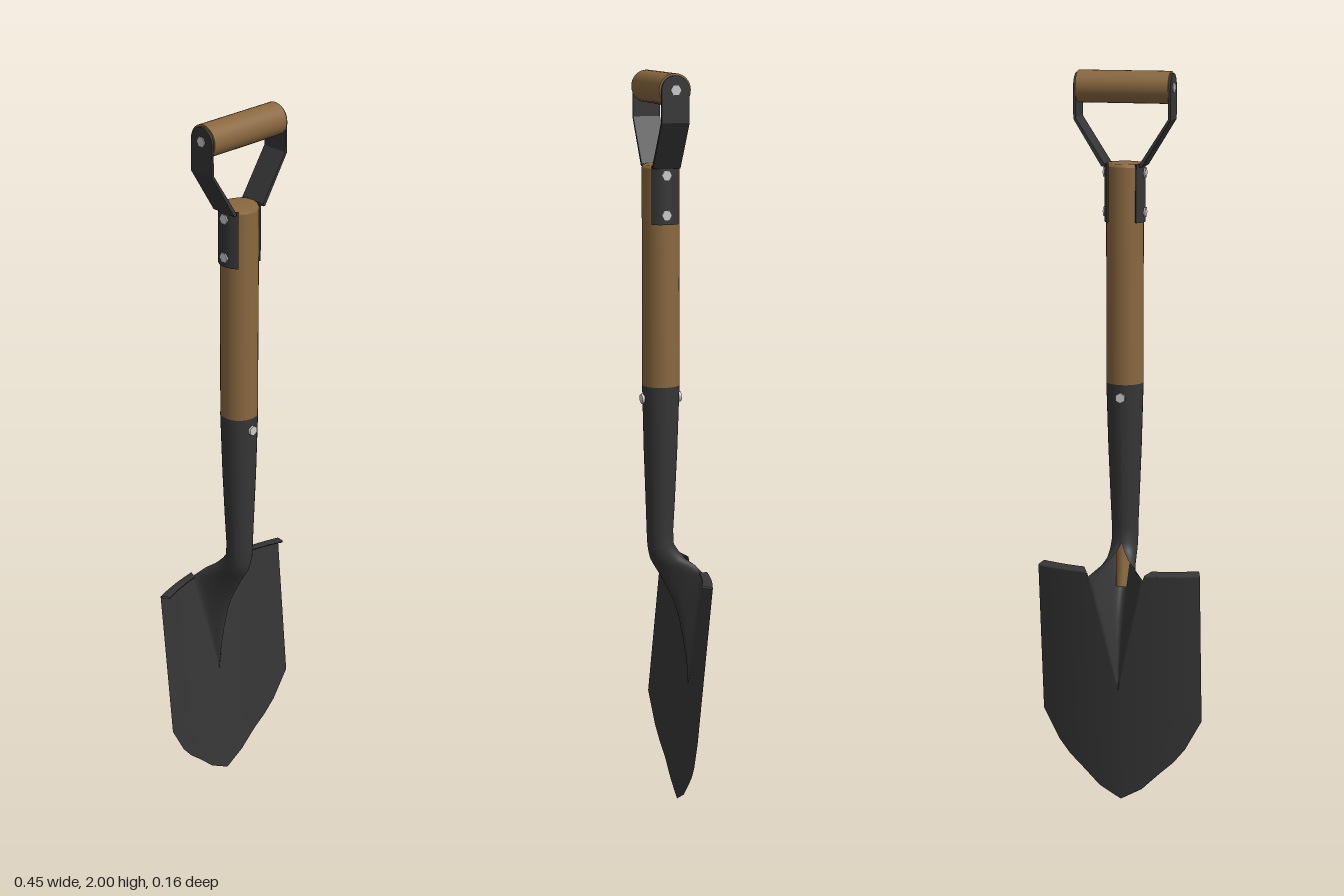
import * as THREE from 'three';

const lerp = THREE.MathUtils.lerp;
const AXIS_Z = 0.027; // shaft axis

const material = (name, color, side = THREE.FrontSide) => {
  const m = new THREE.MeshStandardMaterial({ color, side });
  m.name = name;
  return m;
};

// Linear lookup in a table of [key, value] with rising keys
function lookup(table, k) {
  if (k <= table[0][0]) return table[0][1];
  for (let i = 1; i < table.length; i++) {
    const [a, va] = table[i - 1], [b, vb] = table[i];
    if (k <= b) return lerp(va, vb, (k - a) / (b - a));
  }
  return table[table.length - 1][1];
}

// Surface through rows of points, rows running downward and points toward +x
function sheet(rows) {
  const n = rows[0].length, index = [];
  for (let i = 0; i < rows.length - 1; i++) {
    for (let j = 0; j < n - 1; j++) {
      const a = i * n + j, b = a + n;
      index.push(a, b, b + 1, a, b + 1, a + 1);
    }
  }
  const g = new THREE.BufferGeometry();
  g.setAttribute('position', new THREE.Float32BufferAttribute(rows.flat(2), 3));
  g.setIndex(index);
  g.computeVertexNormals();
  return g;
}

// Dished, tilted blade surface and its outline
const TOP = 0.67;
const bladeZ = (x, y) => -0.083 + 0.038 * (x / 0.225) ** 2 + (TOP - y) * 0.095;
const outline = [[0, 0], [0.035, 0.06], [0.085, 0.11], [0.12, 0.148], [0.16, 0.18], [0.245, 0.225]];
const bladeWidth = (y) => lookup(outline, y);
const channelWidth = (y) => 0.078 * THREE.MathUtils.clamp((y - 0.33) / 0.34, 0, 1);

// Socket sections: [height, foremost z, radius, how far it has opened into the blade channel]
const sections = [
  [1.18, 0.077, 0.05, 0], [1.0, 0.073, 0.045, 0], [0.85, 0.068, 0.039, 0], [0.78, 0.066, 0.036, 0],
  [0.74, 0.064, 0.036, 0], [0.72, 0.061, 0.036, 0.13], [0.7, 0.056, 0.036, 0.33],
  [0.685, 0.048, 0.036, 0.6], [0.66, 0.033, 0.036, 1], [0.62, 0.012, 0.036, 1],
  [0.58, -0.008, 0.036, 1], [0.53, -0.024, 0.036, 1], [0.47, -0.036, 0.036, 1],
  [0.4, -0.047, 0.036, 1], [0.33, -0.051, 0.036, 1],
];

function socketGeometry() {
  return sheet(sections.map(([y, front, r, open]) => {
    const w = channelWidth(Math.min(y, TOP)), base = bladeZ(w, Math.min(y, TOP));
    return Array.from({ length: 33 }, (_, i) => {
      const t = i / 16 - 1, c = Math.cos(Math.PI * t);
      return [
        lerp(r * Math.sin(Math.PI * t), w * t, open),
        y,
        lerp(front - r + r * c, base + (front - base) * (c + 1) / 2, open),
      ];
    });
  }));
}

// One half of the blade, beside the channel
function bladeHalf(side) {
  const ys = [TOP, 0.66, 0.62, 0.58, 0.53, 0.47, 0.4, 0.33, 0.28, ...outline.map((p) => p[0]).reverse()];
  return sheet(ys.map((y) => Array.from({ length: 9 }, (_, j) => {
    const u = side > 0 ? j / 8 : 1 - j / 8;
    const x = lerp(channelWidth(y), bladeWidth(y), u);
    return [side * x, y, bladeZ(x, y)];
  })));
}

// Foot tread folded forward along the top of one blade half
function treadGeometry(side) {
  const ring = [[0, -0.001], [0, 0.004], [1, 0.009], [1, 0.003], [0, -0.001]]; // forward, up
  return sheet(ring.map(([f, up]) => Array.from({ length: 9 }, (_, j) => {
    const u = side > 0 ? j / 8 : 1 - j / 8;
    const x = lerp(0.08 + 0.014 * f, 0.225 - 0.008 * f, u);
    return [side * x, TOP + up, bladeZ(lerp(0.08, 0.225, u), TOP) + 0.027 * f];
  })));
}

export function createModel() {
  const model = new THREE.Group();
  model.name = 'spade';
  const wood = material('wood', 0x8a6840);
  const steel = material('dark steel', 0x363636, THREE.DoubleSide);
  const rivetMetal = material('rivet metal', 0xcccccc);

  const add = (parent, name, geometry, mat, x = 0, y = 0, z = 0) => {
    const mesh = new THREE.Mesh(geometry, mat);
    mesh.name = name;
    mesh.position.set(x, y, z);
    parent.add(mesh);
    return mesh;
  };

  // Wooden shaft with a slightly eased top
  const shaftProfile = [[0, 1.15], [0.047, 1.15], [0.0495, 1.181], [0.0495, 1.755], [0.046, 1.763], [0, 1.763]];
  const profile = shaftProfile.map(([r, y]) => new THREE.Vector2(r, y));
  // doubled corner points keep the end edges crisp
  profile.splice(3, 0, profile[3].clone().setY(1.754));
  add(model, 'shaft', new THREE.LatheGeometry(profile, 32), wood, 0, 0, AXIS_Z);

  // Wooden core end showing in the open back of the socket
  const core = add(model, 'shaftCore', new THREE.CylinderGeometry(0.024, 0.015, 0.14, 16), wood, 0, 0.685, 0.008);
  core.rotation.x = Math.atan2(0.035, 0.13);

  // Socket flowing into the blade
  add(model, 'socket', socketGeometry(), steel);
  for (const side of [1, -1]) {
    const label = side > 0 ? 'left' : 'right';
    add(model, label + 'Blade', bladeHalf(side), steel);
    add(model, label + 'Tread', treadGeometry(side), steel);
  }

  // Socket rivets, front and back
  for (const s of [1, -1]) {
    const rivet = add(model, 'socketRivet', new THREE.CylinderGeometry(0.014, 0.014, 0.008, 6), rivetMetal,
      0, 1.145, AXIS_Z + s * 0.051);
    rivet.rotation.x = Math.PI / 2;
  }

  // Handle: grip and a strap on each side
  const handle = new THREE.Group();
  handle.name = 'handle';
  handle.position.z = AXIS_Z;
  model.add(handle);
  const grip = add(handle, 'grip', new THREE.CylinderGeometry(0.042, 0.042, 0.246, 32), wood, 0, 1.958, 0);
  grip.rotation.z = Math.PI / 2;

  const HALF = 0.037;
  const bent = new THREE.Shape([
    [0.047, 1.755], [0.054, 1.755], [0.129, 1.876], [0.129, 1.958], [0.123, 1.958], [0.123, 1.879], [0.047, 1.762],
  ].map(([x, y]) => new THREE.Vector2(x, y)));
  const bentGeometry = new THREE.ExtrudeGeometry(bent, { depth: HALF * 2, bevelEnabled: false });
  bentGeometry.translate(0, 0, -HALF);

  const angle = Math.asin(HALF / 0.054);
  const arc = new THREE.Shape();
  arc.absarc(0, 0, 0.054, -angle, angle, false);
  arc.absarc(0, 0, 0.049, angle, -angle, true);
  const plateGeometry = new THREE.ExtrudeGeometry(arc, { depth: 0.152, bevelEnabled: false, curveSegments: 10 });
  plateGeometry.rotateX(-Math.PI / 2);

  for (const side of [1, -1]) {
    const strap = new THREE.Group();
    strap.name = side > 0 ? 'leftStrap' : 'rightStrap';
    strap.rotation.y = side > 0 ? 0 : Math.PI;
    handle.add(strap);
    add(strap, 'strapArm', bentGeometry, steel);
    add(strap, 'strapPlate', plateGeometry, steel, 0, 1.61, 0);
    const end = add(strap, 'strapEnd', new THREE.CylinderGeometry(HALF, HALF, 0.006, 24), steel, 0.126, 1.958, 0);
    end.rotation.z = Math.PI / 2;
    for (const [x, y] of [[0.129, 1.958], [0.054, 1.738], [0.054, 1.635]]) {
      const rivet = add(strap, 'strapRivet', new THREE.CylinderGeometry(0.014, 0.014, 0.006, 6), rivetMetal, x, y, 0);
      rivet.rotation.z = Math.PI / 2;
    }
  }
  return model;
}
